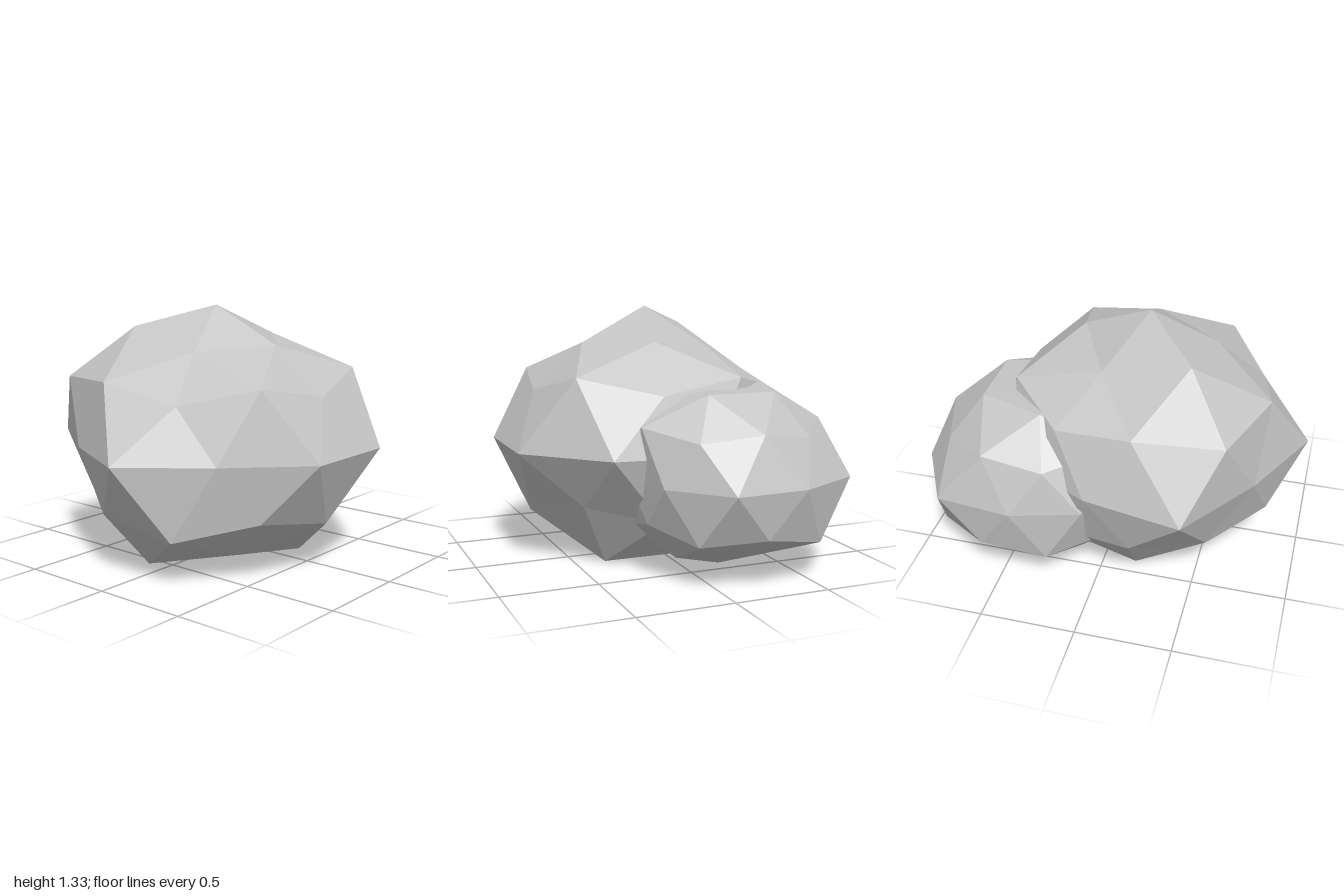
import * as THREE from 'three';

// Faceted boulder: a once-subdivided icosphere with poles up, squashed in y,
// whose points are pushed in or out radially. Each list holds the horizontal
// radii of one ring; the slopes give height per unit of radius.
const CAP = 1.41, MID = 0.53, CORNER = 0.435;

function boulderGeometry({ center, turn, top, cap, upper, equator, lower, base, bottom }) {
  const [cx, cy, cz] = center;
  const at = (r, slope, deg) => {
    const a = THREE.MathUtils.degToRad(deg);
    return [cx + r * Math.sin(a), Math.max(0, cy + r * slope), cz + r * Math.cos(a)];
  };
  const P = [cx, cy + top, cz];
  const Q = [cx, Math.max(0, cy - bottom), cz];
  const I = cap.map((r, k) => at(r, CAP, turn + 72 * k));
  const U = upper.map((r, j) => at(r, j % 2 ? MID : CORNER, turn + 36 * j));
  const E = equator.map((r, j) => at(r, 0, turn + 18 + 36 * j));
  const L = lower.map((r, j) => at(r, j % 2 ? -CORNER : -MID, turn + 36 * j));
  const J = base.map((r, k) => at(r, -CAP, turn + 36 + 72 * k));

  const out = [];
  const tri = (a, b, c) => out.push(...a, ...b, ...c);
  // Top and bottom caps
  for (let k = 0; k < 5; k++) {
    const n = (k + 1) % 5, a = 2 * k, b = a + 1, c = (a + 2) % 10, d = (a + 3) % 10;
    tri(P, I[k], I[n]);
    tri(I[k], U[a], U[b]);
    tri(I[k], U[b], I[n]);
    tri(I[n], U[b], U[c]);
    tri(Q, J[n], J[k]);
    tri(J[k], L[c], L[b]);
    tri(J[k], J[n], L[c]);
    tri(J[n], L[d], L[c]);
  }
  // Bands on either side of the equator
  for (let j = 0; j < 10; j++) {
    const n = (j + 1) % 10, p = (j + 9) % 10;
    tri(U[j], E[p], E[j]);
    tri(U[j], E[j], U[n]);
    tri(L[j], E[j], E[p]);
    tri(L[j], L[n], E[j]);
  }
  const geometry = new THREE.BufferGeometry();
  geometry.setAttribute('position', new THREE.Float32BufferAttribute(out, 3));
  geometry.computeVertexNormals();
  return geometry;
}

export function createModel() {
  const group = new THREE.Group();
  group.name = 'boulders';
  // Triangles share no vertices, so the computed normals are already flat
  const stone = new THREE.MeshStandardMaterial({ color: 0xc5c5c5 });
  stone.name = 'grey stone';

  const add = (name, spec) => {
    const mesh = new THREE.Mesh(boulderGeometry(spec), stone);
    mesh.name = name;
    group.add(mesh);
  };

  add('largeBoulder', {
    center: [-0.145, 0.62, 0], turn: 4.5, top: 0.71, bottom: 0.615,
    cap: [0.37, 0.383, 0.347, 0.425, 0.355],
    upper: [0.652, 0.72, 0.68, 0.7, 0.67, 0.632, 0.775, 0.68, 0.62, 0.676],
    equator: [0.877, 0.843, 0.77, 0.78, 0.736, 0.88, 0.742, 0.856, 0.71, 0.833],
    lower: [0.68, 0.655, 0.66, 0.67, 0.66, 0.68, 0.64, 0.7, 0.712, 0.68],
    base: [0.45, 0.42, 0.43, 0.437, 0.38],
  });

  add('smallBoulder', {
    center: [0.4, 0.5, -0.2], turn: 54, top: 0.44, bottom: 0.5,
    cap: [0.305, 0.305, 0.31, 0.31, 0.3],
    upper: [0.51, 0.49, 0.5, 0.515, 0.52, 0.52, 0.5, 0.5, 0.5, 0.522],
    equator: [0.63, 0.61, 0.67, 0.585, 0.6, 0.6, 0.6, 0.56, 0.51, 0.55],
    lower: [0.52, 0.55, 0.57, 0.57, 0.55, 0.55, 0.55, 0.52, 0.5, 0.484],
    base: [0.28, 0.31, 0.33, 0.31, 0.295],
  });

  return group;
}
